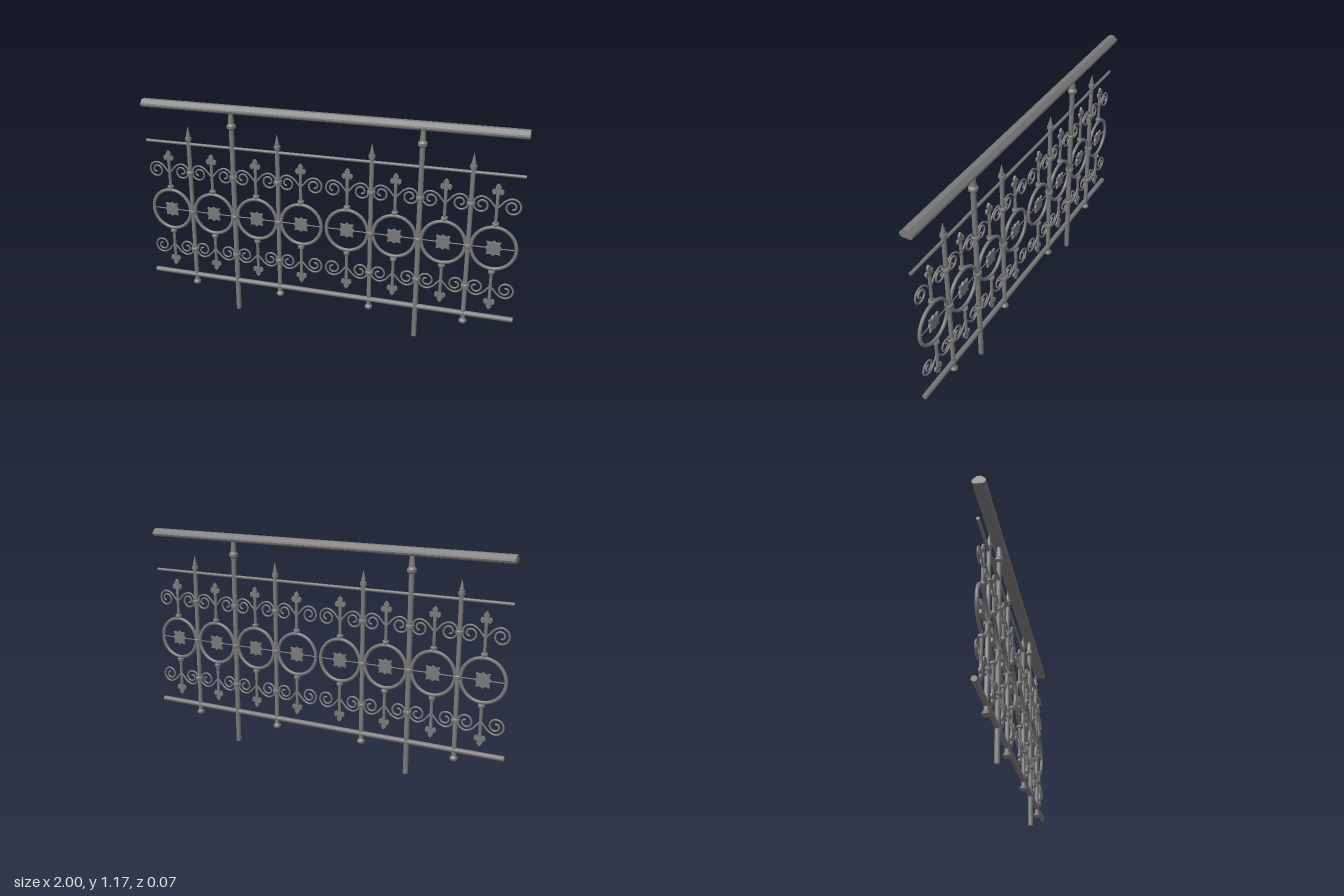
import * as THREE from 'three';
import { toCreasedNormals } from 'three/addons/utils/BufferGeometryUtils.js';

const material = new THREE.MeshStandardMaterial({ color: 0x787878 });
const MID = 0.555; // height of the ring centres, the panels mirror about it

function add(parent, name, geometry, x = 0, y = 0, z = 0) {
  const mesh = new THREE.Mesh(geometry, material);
  mesh.name = name;
  mesh.position.set(x, y, z);
  parent.add(mesh);
  return mesh;
}

// Turned part with crisp edges between its bands
const lathe = (points) => toCreasedNormals(
  new THREE.LatheGeometry(points.map(([r, y]) => new THREE.Vector2(r, y)), 16), 0.5);

const rail = (r) => new THREE.CylinderGeometry(r, r, 2, 12).rotateZ(Math.PI / 2);

const polygon = (points) => new THREE.Shape(points.map(([x, y]) => new THREE.Vector2(x, y)));

// Flat plate centred on z = 0 with a small bevel
function plate(shape, depth) {
  const g = new THREE.ExtrudeGeometry(shape, {
    depth: depth * 0.5, bevelEnabled: true, bevelThickness: depth * 0.25,
    bevelSize: 0.002, bevelOffset: -0.002, bevelSegments: 1, curveSegments: 6,
  });
  return g.translate(0, 0, -depth * 0.25);
}

// Small band around an upright
const collar = (r, h) => lathe([
  [0, -h / 2], [r * 0.9, -h / 2], [r, -h / 3], [r, h / 3], [r * 0.9, h / 2], [0, h / 2],
]);

// Handrail: sloping shoulders, narrow flat top and rounded underside
function handrail() {
  const half = [[0.021, 1.126], [0.03, 1.132], [0.033, 1.14], [0.031, 1.148], [0.012, 1.166]];
  const mirrored = half.map(([x, y]) => [-x, y]).reverse();
  const g = new THREE.ExtrudeGeometry(polygon([...half, ...mirrored]), { depth: 2, bevelEnabled: false });
  return g.translate(0, 0, -1).rotateY(Math.PI / 2);
}

// Scroll: leaves the bar, passes over the top and winds inward
function scroll() {
  const cx = 0.074, cy = 0.222;
  const points = [[0, 0.208], [0.018, 0.228], [0.04, 0.252]];
  const steps = 26;
  for (let i = 0; i <= steps; i++) {
    const t = i / steps;
    const a = Math.PI * (0.55 - 3.1 * t);
    const r = 0.043 - 0.033 * Math.pow(t, 1.25);
    points.push([cx + r * Math.cos(a), cy + r * Math.sin(a)]);
  }
  const curve = new THREE.CatmullRomCurve3(points.map(([x, y]) => new THREE.Vector3(x, y, 0)));
  return new THREE.TubeGeometry(curve, 64, 0.005, 8);
}

// Fleur: pointed middle leaf with two drooping side leaves
function fleur() {
  const s = new THREE.Shape();
  s.moveTo(0.007, 0.25);
  s.lineTo(0.009, 0.286);
  s.quadraticCurveTo(0.014, 0.278, 0.022, 0.28);
  s.quadraticCurveTo(0.036, 0.296, 0.023, 0.309);
  s.quadraticCurveTo(0.015, 0.31, 0.009, 0.304);
  s.quadraticCurveTo(0.023, 0.32, 0, 0.338);
  s.quadraticCurveTo(-0.023, 0.32, -0.009, 0.304);
  s.quadraticCurveTo(-0.015, 0.31, -0.023, 0.309);
  s.quadraticCurveTo(-0.036, 0.296, -0.022, 0.28);
  s.quadraticCurveTo(-0.014, 0.278, -0.009, 0.286);
  s.lineTo(-0.007, 0.25);
  return plate(s, 0.012);
}

// Squarish rosette with eight points
function rosette() {
  const radii = [0.042, 0.034, 0.051, 0.034];
  const points = [];
  for (let i = 0; i < 16; i++) {
    const a = i * Math.PI / 8;
    points.push([radii[i % 4] * Math.cos(a), radii[i % 4] * Math.sin(a)]);
  }
  return plate(polygon(points), 0.012);
}

export function createModel() {
  const railing = new THREE.Group();
  railing.name = 'railing';

  // Horizontal rails
  add(railing, 'handrail', handrail());
  add(railing, 'upperRail', rail(0.008), 0, 0.938);
  add(railing, 'lowerRail', rail(0.0135), 0, 0.175);

  const postGeo = lathe([
    [0, 0], [0.0135, 0], [0.0135, 1.038], [0.018, 1.04], [0.024, 1.048], [0.024, 1.06],
    [0.018, 1.068], [0.016, 1.07], [0.011, 1.13], [0, 1.13],
  ]);
  const picketGeo = lathe([
    [0, 0.115], [0.011, 0.117], [0.02, 0.127], [0.02, 0.136], [0.012, 0.146], [0.0115, 0.15],
    [0.0115, 0.956], [0.017, 0.958], [0.017, 0.974], [0.012, 0.976], [0.012, 0.983], [0, 1.035],
  ]);
  const tieGeo = collar(0.022, 0.02);

  // Uprights with ties where rings and scrolls meet them
  for (const x of [-0.75, -0.5, -0.25, 0.25, 0.5, 0.75]) {
    const isPost = Math.abs(x) === 0.5;
    const upright = new THREE.Group();
    upright.name = isPost ? 'post' : 'picket';
    upright.position.x = x;
    railing.add(upright);
    add(upright, isPost ? 'postShaft' : 'picketShaft', isPost ? postGeo : picketGeo);
    for (const y of [MID - 0.222, MID, MID + 0.222]) add(upright, 'tie', tieGeo, 0, y);
  }

  // Ornamental panels
  const ringGeo = new THREE.TorusGeometry(0.111, 0.009, 8, 40);
  const rodGeo = new THREE.CylinderGeometry(0.003, 0.003, 0.222, 8).rotateZ(Math.PI / 2);
  const rosetteGeo = rosette();
  const barGeo = new THREE.CylinderGeometry(0.008, 0.008, 0.15, 10);
  const bandGeo = collar(0.017, 0.016);
  const scrollGeo = scroll();
  const fleurGeo = fleur();

  for (let i = 0; i < 8; i++) {
    const panel = new THREE.Group();
    panel.name = 'panel';
    panel.position.set(-0.875 + i * 0.25, MID, 0);
    railing.add(panel);
    add(panel, 'ring', ringGeo);
    add(panel, 'crossRod', rodGeo);
    add(panel, 'rosette', rosetteGeo);

    // Upper half, then the same turned over for the lower half
    for (const turn of [0, Math.PI]) {
      const half = new THREE.Group();
      half.name = turn ? 'lowerOrnament' : 'upperOrnament';
      half.rotation.z = turn;
      panel.add(half);
      add(half, 'bar', barGeo, 0, 0.19);
      add(half, 'band', bandGeo, 0, 0.128);
      add(half, 'fleur', fleurGeo);
      for (const side of [0, Math.PI]) add(half, 'scroll', scrollGeo).rotation.y = side;
    }
  }
  return railing;
}
